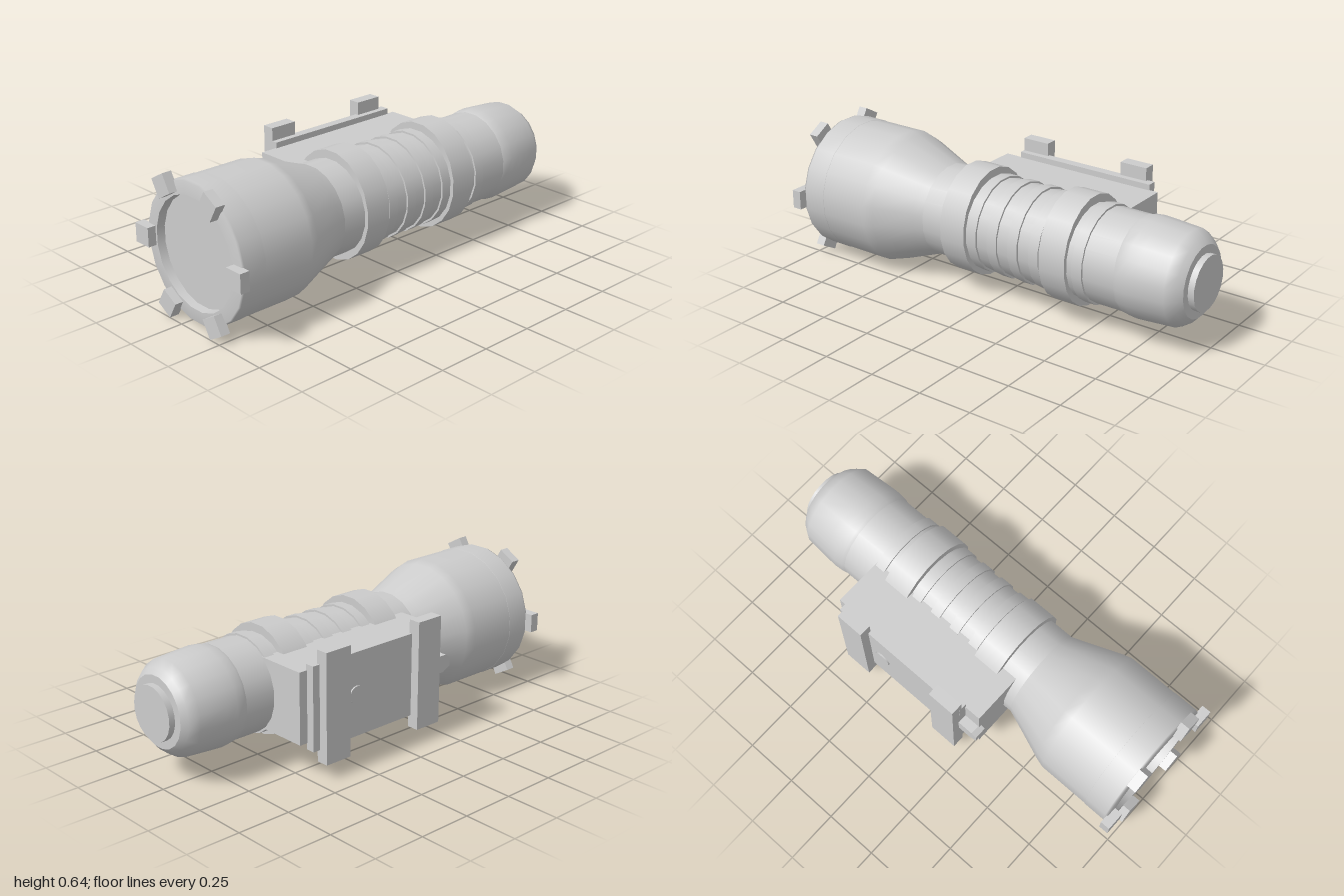
import * as THREE from 'three';

const AX = 0.055, AY = 0.322, SIDES = 20;

export function createModel() {
  const model = new THREE.Group();
  model.name = 'flashlight';
  const grey = new THREE.MeshStandardMaterial({ color: 0xcccccc });
  grey.name = 'light grey';

  // everything turned shares one axis along z
  const barrel = new THREE.Group();
  barrel.name = 'barrel';
  barrel.position.set(AX, AY, 0);
  model.add(barrel);

  function add(parent, name, geometry, x = 0, y = 0, z = 0) {
    const mesh = new THREE.Mesh(geometry, grey);
    mesh.name = name;
    mesh.position.set(x, y, z);
    parent.add(mesh);
    return mesh;
  }

  // profile of [radius, z] pairs, running from back to front
  function turn(name, profile) {
    const pts = profile.map(([r, z]) => new THREE.Vector2(r, z));
    const geo = new THREE.LatheGeometry(pts, SIDES, Math.PI / SIDES);
    return add(barrel, name, geo.rotateX(Math.PI / 2));
  }

  // closed collar around the barrel
  function collar(name, r, z0, z1) {
    const geo = new THREE.CylinderGeometry(r, r, z1 - z0, SIDES, 1, false, Math.PI / SIDES);
    return add(barrel, name, geo.rotateX(Math.PI / 2), 0, 0, (z0 + z1) / 2);
  }

  function box(name, x0, x1, y0, y1, z0, z1) {
    const geo = new THREE.BoxGeometry(x1 - x0, y1 - y0, z1 - z0);
    return add(model, name, geo, (x0 + x1) / 2, (y0 + y1) / 2, (z0 + z1) / 2);
  }

  // tail
  collar('tailButton', 0.123, -1, -0.95);
  turn('tailFace', [[0.001, -0.972], [0.16, -0.972]]);
  turn('tailCap', [[0.16, -0.972], [0.185, -0.95], [0.212, -0.91], [0.221, -0.78],
    [0.224, -0.73], [0.22, -0.69], [0.212, -0.67]]);

  // handle and flared head
  turn('handle', [[0.214, -0.69], [0.214, 0.33]]);
  turn('headFlare', [[0.214, 0.33], [0.23, 0.375], [0.298, 0.555], [0.311, 0.6], [0.311, 0.85]]);

  // bezel, its recess and the lens
  collarRing();
  function collarRing() {
    turn('bezel', [[0.309, 0.84], [0.313, 0.842], [0.313, 0.95], [0.309, 0.96], [0.251, 0.962]]);
    turn('bezelRecess', [[0.251, 0.962], [0.247, 0.925]]);
    turn('lens', [[0.248, 0.925], [0.001, 0.925]]);
  }

  // six teeth around the bezel
  for (let i = 0; i < 6; i++) {
    const a = i * Math.PI / 3;
    const tooth = add(barrel, 'bezelTooth', new THREE.BoxGeometry(0.087, 0.087, 0.045),
      0.302 * Math.cos(a), 0.302 * Math.sin(a), 0.9775);
    tooth.rotation.z = a;
  }

  // grip ribs, with two taller clamp bands
  for (const z of [0.05, -0.06, -0.17, -0.28, -0.5]) collar('gripRib', 0.223, z - 0.025, z + 0.025);
  for (const z of [0.15, -0.38]) collar('clampBand', 0.232, z - 0.065, z + 0.065).scale.y = 1.09;

  // side mount
  box('mountBase', -0.32, -0.08, 0.16, 0.485, -0.53, 0.29);
  box('mountPlate', -0.358, -0.315, 0.13, 0.512, -0.49, 0.21);
  for (const z of [0.1425, -0.3875]) box('mountBar', -0.4, -0.343, 0.073, 0.573, z - 0.067, z + 0.067);

  // round screw head on the outer face of the plate
  const screw = new THREE.CylinderGeometry(0.04, 0.04, 0.05, 16).rotateZ(Math.PI / 2);
  add(model, 'mountScrew', screw, -0.34, 0.322, -0.25);

  // latch with a sloping underside at the front of the mount
  const latch = new THREE.Shape([[0.2, 0.362], [0.285, 0.362], [0.31, 0.345], [0.31, 0.304], [0.27, 0.283], [0.2, 0.283]]
    .map(([z, y]) => new THREE.Vector2(-z, y)));
  const latchGeo = new THREE.ExtrudeGeometry(latch, { depth: 0.058, bevelEnabled: false });
  add(model, 'mountLatch', latchGeo.rotateY(Math.PI / 2), -0.364, 0, 0);

  return model;
}
